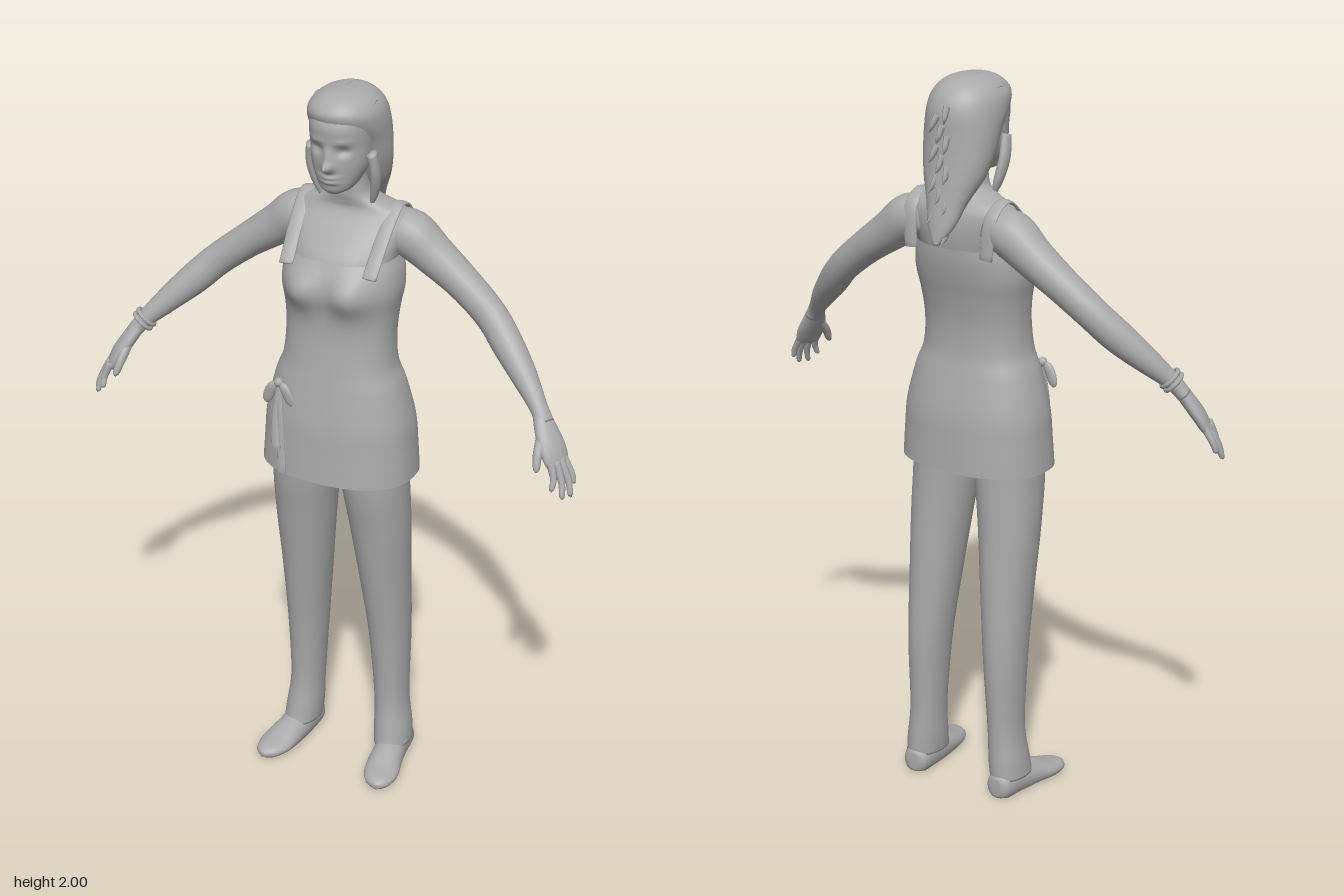
import * as THREE from 'three';

const V3 = THREE.Vector3;
const grey = new THREE.MeshStandardMaterial({ color: 0xaaaaaa, side: THREE.DoubleSide });
grey.name = 'plain grey';

// Catmull-Rom through rows of numbers, t from 0 to 1
function sample(rows, t) {
  const f = t * (rows.length - 1), i = Math.min(Math.floor(f), rows.length - 2), u = f - i;
  const at = k => rows[Math.max(0, Math.min(rows.length - 1, k))];
  return rows[i].map((b, k) => {
    const a = at(i - 1)[k], c = at(i + 1)[k], d = at(i + 2)[k];
    return b + 0.5 * u * (c - a + u * (2 * a - 5 * b + 4 * c - d + u * (3 * (b - c) + d - a)));
  });
}

// Skin a series of rings; ring(t) gives centre, axes U and V, and radii
function skin(ring, { rings, n = 28, power = 2, warp = null, capStart = true, capEnd = true }) {
  const pos = [], idx = [];
  const put = p => { if (warp) warp(p); pos.push(p.x, p.y, p.z); };
  const round = v => Math.sign(v) * Math.pow(Math.abs(v), 2 / power);
  for (let i = 0; i <= rings; i++) {
    const { c, U, V, rx, rz } = ring(i / rings);
    for (let j = 0; j < n; j++) {
      const a = (j / n) * Math.PI * 2;
      put(c.clone().addScaledVector(U, rx * round(Math.cos(a))).addScaledVector(V, rz * round(Math.sin(a))));
    }
  }
  for (let i = 0; i < rings; i++) for (let j = 0; j < n; j++) {
    const a = i * n + j, b = i * n + (j + 1) % n;
    idx.push(a, a + n, b, b, a + n, b + n);
  }
  [[capStart, 0], [capEnd, rings]].forEach(([on, i]) => {
    if (!on) return;
    const m = pos.length / 3;
    put(ring(i / rings).c.clone());
    for (let j = 0; j < n; j++) {
      const a = i * n + j, b = i * n + (j + 1) % n;
      idx.push(...(i ? [a, m, b] : [a, b, m]));
    }
  });
  const g = new THREE.BufferGeometry();
  g.setAttribute('position', new THREE.Float32BufferAttribute(pos, 3));
  g.setIndex(idx);
  g.computeVertexNormals();
  return g;
}

// Level rings: rows of [y, half width, front z, back z, centre x]
function upright(rows, opt = {}) {
  const X = new V3(1, 0, 0), Z = new V3(0, 0, 1);
  return skin(t => {
    const [y, rx, zf, zb, x] = sample(rows.map(r => (r.length < 5 ? [...r, 0] : r)), t);
    return { c: new V3(x, y, (zf + zb) / 2), U: X, V: Z, rx: Math.max(rx, 0.001), rz: Math.max((zf - zb) / 2, 0.001) };
  }, { rings: (rows.length - 1) * 5, power: 2.25, ...opt });
}

// Rings across a path: rows of [x, y, z, radius across, radius along ref]
function limb(rows, { ref = new V3(0, 1, 0), ...opt } = {}) {
  const point = t => new V3(...sample(rows, Math.min(1, Math.max(0, t))).slice(0, 3));
  return skin(t => {
    const r = sample(rows, t);
    const T = point(t + 0.01).sub(point(t - 0.01)).normalize();
    const V = ref.clone().addScaledVector(T, -ref.dot(T)).normalize();
    return { c: point(t), U: new V3().crossVectors(T, V), V, rx: Math.max(r[3], 0.001), rz: Math.max(r[4], 0.001) };
  }, { rings: (rows.length - 1) * 5, n: 18, ...opt });
}

const bump = (d, w) => Math.exp(-(d * d) / (w * w));

export function createModel() {
  const model = new THREE.Group();
  const add = (name, geo, parent = model) => {
    const m = new THREE.Mesh(geo, grey);
    m.name = name;
    parent.add(m);
    return m;
  };

  // Tunic top with flared skirt, open at the hem
  add('tunic', upright([
    [0.94, 0.215, 0.178, -0.12], [1.02, 0.21, 0.172, -0.116], [1.1, 0.203, 0.166, -0.11], [1.2, 0.178, 0.15, -0.09],
    [1.26, 0.155, 0.14, -0.078], [1.34, 0.149, 0.13, -0.078], [1.41, 0.154, 0.128, -0.09], [1.47, 0.163, 0.13, -0.105],
    [1.52, 0.158, 0.125, -0.115], [1.555, 0.145, 0.112, -0.118],
  ], {
    n: 56, capStart: false, capEnd: false, power: 2.35,
    warp: p => {
      if (p.z > 0.02) p.z += 0.036 * bump(Math.abs(p.x) - 0.07, 0.06) * bump(p.y - 1.475, 0.055);
    },
  }));

  // Upper chest, shoulders and neck
  add('shouldersAndNeck', upright([
    [1.46, 0.145, 0.115, -0.09], [1.54, 0.142, 0.115, -0.11], [1.6, 0.155, 0.075, -0.117], [1.645, 0.163, 0.035, -0.112],
    [1.672, 0.142, 0.02, -0.1], [1.692, 0.092, 0.022, -0.085], [1.72, 0.056, 0.028, -0.07], [1.8, 0.05, 0.03, -0.06],
  ], { n: 40 }));

  // Head with nose, lips, brow and eye sockets shaped from its surface
  add('head', upright([
    [1.735, 0.018, 0.085, 0.04], [1.748, 0.042, 0.096, 0.0], [1.775, 0.06, 0.1, -0.03], [1.815, 0.075, 0.103, -0.06],
    [1.865, 0.081, 0.105, -0.08], [1.92, 0.084, 0.109, -0.1], [1.965, 0.072, 0.08, -0.08], [1.988, 0.03, 0.03, -0.04],
  ], {
    n: 72, rings: 70,
    warp: p => {
      if (p.z < 0.03) return;
      p.z += 0.028 * bump(p.x, 0.014) * bump(p.y - 1.814, 0.014) + 0.014 * bump(p.x, 0.012) * bump(p.y - 1.84, 0.025);
      p.z += 0.009 * bump(p.x, 0.022) * (bump(p.y - 1.785, 0.006) + bump(p.y - 1.772, 0.006));
      p.z -= 0.012 * bump(Math.abs(p.x) - 0.036, 0.018) * bump(p.y - 1.857, 0.012);
      p.z += 0.004 * bump(Math.abs(p.x) - 0.036, 0.025) * bump(p.y - 1.882, 0.008);
    },
  }));

  // Hair swept back into a tail
  add('hair', upright([
    [1.575, 0.008, -0.15, -0.17], [1.62, 0.038, -0.115, -0.165], [1.68, 0.058, -0.07, -0.155], [1.74, 0.084, -0.015, -0.146],
    [1.8, 0.098, 0.02, -0.138], [1.86, 0.102, 0.05, -0.134], [1.91, 0.102, 0.092, -0.132], [1.95, 0.094, 0.108, -0.118],
    [1.98, 0.068, 0.08, -0.088], [1.993, 0.035, 0.045, -0.055], [1.996, 0.003, 0.005, -0.015],
  ], { n: 40, power: 2.1 }));
  const tufts = new THREE.Group();
  tufts.name = 'hairTufts';
  model.add(tufts);
  for (let i = 0; i < 13; i++) {
    const y = 1.59 + i * 0.026, side = (i % 3) - 1;
    add('tuft', limb([
      [0.015 * side, y + 0.03, -0.135, 0.012, 0.008], [0.02 * side, y + 0.005, -0.15, 0.009, 0.006],
      [0.022 * side + 0.005, y - 0.012, -0.168 + i * 0.0014, 0.001, 0.001],
    ], { n: 6, ref: new V3(1, 0, 0) }), tufts);
  }
  for (let i = 0; i < 9; i++) {
    const x = (i - 4) * 0.018;
    add('fringeTuft', limb([
      [x, 1.992 - x * x * 6, -0.03, 0.007, 0.004], [x * 1.1, 1.994 - x * x * 5, 0.0, 0.005, 0.004],
      [x * 1.15, 1.99 - x * x * 5, 0.02, 0.001, 0.001],
    ], { n: 6 }), tufts);
  }

  // Hand-tied bow with two hanging ends
  const bow = new THREE.Group();
  bow.name = 'bow';
  model.add(bow);
  add('knot', new THREE.SphereGeometry(0.013, 14, 10), bow).position.set(-0.125, 1.2, 0.148);
  const flat = { ref: new V3(0, 0, 1), n: 12 };
  [-1, 1].forEach(s => {
    add('bowLoop', limb([
      [-0.125, 1.2, 0.148, 0.005, 0.005], [-0.125 + s * 0.018, 1.185, 0.15, 0.014, 0.009],
      [-0.125 + s * 0.034, 1.15, 0.148, 0.014, 0.007], [-0.125 + s * 0.037, 1.135, 0.148, 0.004, 0.003],
    ], flat), bow);
    add('bowEnd', limb([
      [-0.125, 1.2, 0.146, 0.006, 0.004], [-0.122 + s * 0.007, 1.1, 0.163, 0.01, 0.004],
      [-0.112 + s * 0.008, s > 0 ? 0.95 : 1.02, 0.178, 0.013, 0.004],
    ], flat), bow);
  });

  // Bracelet on the right wrist
  [0, 1].forEach(k => {
    const ring = add('bracelet', new THREE.TorusGeometry(0.029, 0.006, 8, 24));
    ring.position.set(-0.568 - k * 0.008, 1.262 - k * 0.011, 0.066 + k * 0.006);
    ring.quaternion.setFromUnitVectors(new V3(0, 0, 1), new V3(-0.6, -0.7, 0.4).normalize());
  });

  // Paired parts
  for (const s of [1, -1]) {
    const side = s > 0 ? 'left' : 'right';
    const group = new THREE.Group();
    group.name = side + 'Limbs';
    model.add(group);
    const path = (name, rows, opt) => add(side + name, limb(rows.map(r => [r[0] * s, ...r.slice(1)]), opt), group);

    path('Arm', [
      [0.1, 1.615, -0.05, 0.055, 0.05], [0.16, 1.602, -0.052, 0.064, 0.063], [0.225, 1.555, -0.053, 0.055, 0.055],
      [0.31, 1.495, -0.048, 0.047, 0.047], [0.395, 1.428, -0.033, 0.042, 0.044], [0.455, 1.37, -0.005, 0.041, 0.043],
      [0.52, 1.308, 0.033, 0.034, 0.034], [0.575, 1.252, 0.07, 0.024, 0.023], [0.6, 1.218, 0.086, 0.027, 0.02],
    ], { n: 24 });
    path('Palm', [
      [0.585, 1.24, 0.078, 0.022, 0.019], [0.61, 1.2, 0.095, 0.034, 0.02], [0.633, 1.163, 0.108, 0.04, 0.019],
      [0.65, 1.13, 0.117, 0.036, 0.014], [0.655, 1.12, 0.12, 0.025, 0.008],
    ], { n: 20 });

    // Fingers: knuckle, middle joint and tip
    [[0.642, 0.143, 0.655, 0.163, 1.072], [0.65, 0.127, 0.679, 0.15, 1.05],
      [0.655, 0.11, 0.693, 0.128, 1.05], [0.657, 0.094, 0.69, 0.1, 1.072]].forEach(([x, z, tx, tz, ty]) => {
      path('Finger', [
        [x, 1.14, z, 0.011, 0.011], [x * 0.45 + tx * 0.55 + 0.006, 1.14 * 0.45 + ty * 0.55, (z + tz) / 2, 0.009, 0.009],
        [tx, ty + 0.006, tz, 0.007, 0.007], [tx, ty, tz, 0.002, 0.002],
      ], { n: 10 });
    });
    path('Thumb', [
      [0.602, 1.195, 0.108, 0.014, 0.014], [0.606, 1.16, 0.143, 0.012, 0.012],
      [0.612, 1.128, 0.163, 0.009, 0.009], [0.613, 1.118, 0.168, 0.002, 0.002],
    ], { n: 10 });

    // Strap over the shoulder
    path('Strap', [
      [0.118, 1.53, 0.112, 0.006, 0.02], [0.122, 1.6, 0.056, 0.006, 0.02], [0.125, 1.65, 0.01, 0.006, 0.02],
      [0.127, 1.683, -0.042, 0.006, 0.02], [0.125, 1.645, -0.1, 0.006, 0.02], [0.118, 1.54, -0.11, 0.006, 0.02],
    ], { ref: new V3(1, 0, 0), n: 12 });

    // Trouser leg
    add(side + 'TrouserLeg', upright([
      [0.05, 0.05, 0.055, -0.088, 0.142], [0.1, 0.05, 0.045, -0.088, 0.138], [0.2, 0.046, 0.034, -0.086, 0.131],
      [0.4, 0.055, 0.05, -0.095, 0.126], [0.6, 0.068, 0.08, -0.087, 0.118], [0.77, 0.081, 0.108, -0.077, 0.111],
      [0.94, 0.09, 0.135, -0.072, 0.1], [1.1, 0.092, 0.12, -0.075, 0.095],
    ].map(r => [...r.slice(0, 4), r[4] * s]), { n: 32, power: 2.1 }), group);

    // Pointed flat shoe, levelled at the sole
    path('Shoe', [
      [0.14, 0.03, -0.092, 0.018, 0.025], [0.141, 0.03, -0.075, 0.038, 0.042], [0.145, 0.03, -0.01, 0.042, 0.05],
      [0.153, 0.025, 0.055, 0.046, 0.04], [0.165, 0.018, 0.115, 0.049, 0.025], [0.174, 0.014, 0.16, 0.034, 0.018],
      [0.177, 0.012, 0.18, 0.008, 0.008],
    ], { n: 24, warp: p => { p.y = Math.max(0, p.y); } });

    // Lock of hair beside the face
    path('HairLock', [
      [0.085, 1.84, 0.03, 0.012, 0.016], [0.09, 1.78, 0.015, 0.013, 0.02],
      [0.08, 1.72, 0.0, 0.011, 0.016], [0.066, 1.675, -0.005, 0.002, 0.002],
    ], { ref: new V3(0, 0, 1), n: 10 });
  }
  return model;
}
